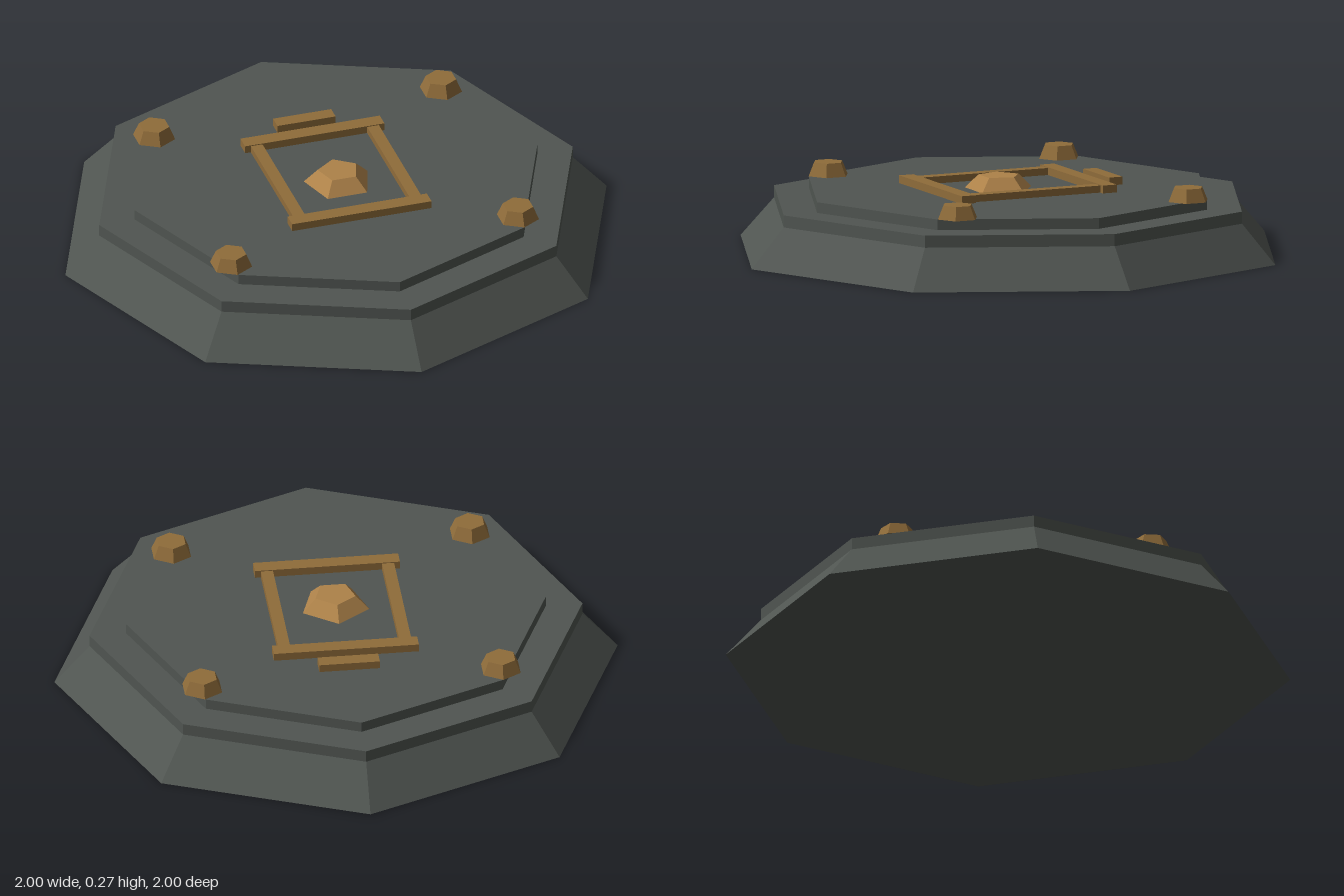
import * as THREE from 'three';

const mat = (name, color) => {
  const m = new THREE.MeshStandardMaterial({ color, flatShading: true });
  m.name = name;
  return m;
};

export function createModel() {
  const stone = mat('dark stone', 0x505551);
  const bronze = mat('bronze', 0x8f6c3a);
  const amber = mat('amber', 0xae8249);
  const model = new THREE.Group();
  model.name = 'octagonalPlinth';

  const add = (name, geometry, material, x, y, z) => {
    const mesh = new THREE.Mesh(geometry, material);
    mesh.name = name;
    mesh.position.set(x, y, z);
    model.add(mesh);
    return mesh;
  };
  // Faceted frustum standing between two heights
  const frustum = (name, material, rBottom, rTop, y0, y1, sides, x = 0, z = 0) =>
    add(name, new THREE.CylinderGeometry(rTop, rBottom, y1 - y0, sides), material, x, (y0 + y1) / 2, z);
  // Flat inlay bar resting on the top tier
  const bar = (name, w, d, x, z, top = 0.25) =>
    add(name, new THREE.BoxGeometry(w, top - 0.215, d), bronze, x, (top + 0.215) / 2, z);

  // Stepped octagonal base
  frustum('slopedBase', stone, 1, 0.875, 0, 0.141, 8);
  frustum('middleTier', stone, 0.875, 0.875, 0.141, 0.184, 8);
  frustum('topTier', stone, 0.745, 0.745, 0.184, 0.222, 8);

  // Raised rectangular frame
  for (const s of [-1, 1]) {
    bar('frameEnd', 0.515, 0.055, 0, s * 0.275);
    bar('frameSide', 0.043, 0.56, s * 0.215, 0, 0.247);
  }
  bar('rearBar', 0.215, 0.052, 0, -0.37);

  // Corner studs
  for (const x of [-0.53, 0.53])
    for (const z of [-0.45, 0.45]) frustum('cornerStud', bronze, 0.076, 0.055, 0.222, 0.27, 6, x, z);

  // Five-sided centre gem, pointing to the back
  frustum('centreGem', amber, 0.124, 0.075, 0.222, 0.27, 5, 0, 0.034).rotation.y = Math.PI;

  return model;
}
